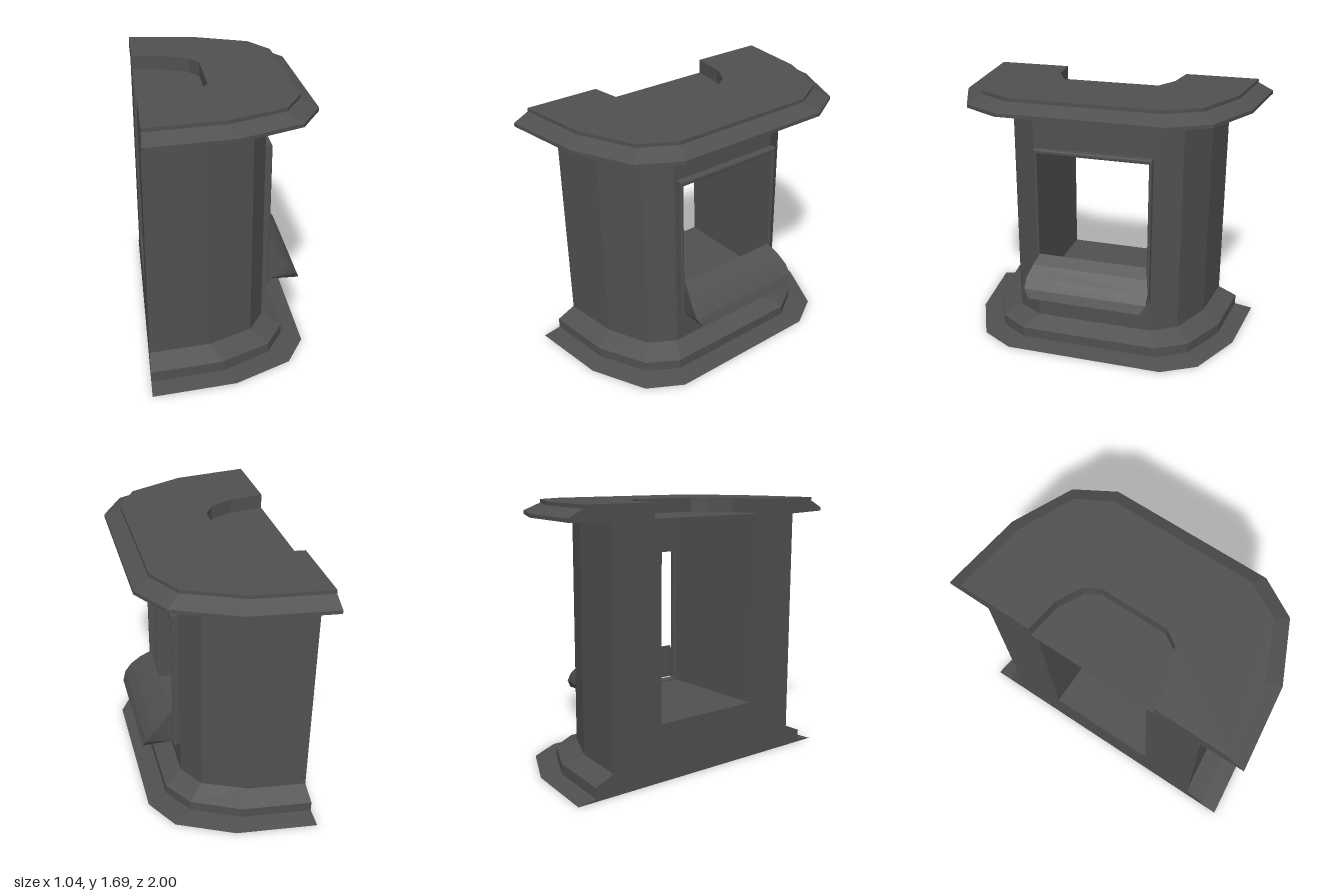
import * as THREE from 'three';

const BACK = -0.52;
const material = new THREE.MeshStandardMaterial({ color: 0x505050, flatShading: true });

// Half outlines as [x, z], from the back edge round to the front face
const BODY = [[BACK, 0.725], [-0.14, 0.68], [0.14, 0.555], [0.24, 0.39]];
const PLINTH = [[BACK, 0.85], [-0.07, 0.8], [0.24, 0.65], [0.36, 0.46]];
const SKIRT = [[BACK, 0.97], [0, 0.91], [0.36, 0.74], [0.49, 0.52]];
const SLAB_EDGE = [[BACK, 1], [0, 0.935], [0.38, 0.763], [0.52, 0.522]];
const SLAB_TOP = [[BACK, 0.903], [-0.05, 0.845], [0.3, 0.69], [0.42, 0.475]];
const RECESS = [[BACK, 0.42], [-0.3, 0.393], [-0.15, 0.317], [-0.09, 0.222]];
const OPENING = 0.37; // half width of the firebox
const FLOOR = 0.37;
const CEILING = 1.59;

const flip = (points) => points.map(([x, z]) => [x, -z]).reverse();
const whole = (half) => [...half, ...flip(half)];
const notched = (half) => [...whole(half), ...whole(RECESS).reverse()];

function meshFrom(name, positions) {
  const geometry = new THREE.BufferGeometry();
  geometry.setAttribute('position', new THREE.Float32BufferAttribute(positions, 3));
  geometry.computeVertexNormals();
  const mesh = new THREE.Mesh(geometry, material);
  mesh.name = name;
  return mesh;
}

// Stacks outlines of equal point count at given heights and caps both ends
function loft(name, rings) {
  const out = [];
  const put = (ring, i) => out.push(ring.outline[i][0], ring.y, ring.outline[i][1]);
  const stack = rings.map(([y, outline]) => ({ y, outline }));
  const n = stack[0].outline.length;
  for (let r = 0; r < stack.length - 1; r++) {
    const low = stack[r], high = stack[r + 1];
    for (let i = 0; i < n; i++) {
      const j = (i + 1) % n;
      put(low, i); put(low, j); put(high, j);
      put(low, i); put(high, j); put(high, i);
    }
  }
  const cap = (ring, up) => {
    const contour = ring.outline.map(([x, z]) => new THREE.Vector2(x, -z));
    for (const [a, b, c] of THREE.ShapeUtils.triangulateShape(contour, [])) {
      for (const i of up ? [a, b, c] : [c, b, a]) put(ring, i);
    }
  };
  cap(stack[0], false);
  cap(stack[stack.length - 1], true);
  return meshFrom(name, out);
}

function rectangle(PathType, halfWidth, bottom, top) {
  return new PathType([[-1, bottom], [1, bottom], [1, top], [-1, top]]
    .map(([s, y]) => new THREE.Vector2(s * halfWidth, y)));
}

// Thin bevelled frame round the fire opening
function doorFrame() {
  const bevel = 0.008;
  const shape = rectangle(THREE.Shape, 0.383 - bevel, 0.36 + bevel, 1.34 - bevel);
  shape.holes.push(rectangle(THREE.Path, 0.363 + bevel, 0.385 - bevel, 1.31 + bevel));
  const geometry = new THREE.ExtrudeGeometry(shape, {
    depth: 0.034, bevelThickness: bevel, bevelSize: bevel, bevelSegments: 2,
  });
  geometry.rotateY(Math.PI / 2);
  const mesh = new THREE.Mesh(geometry, material);
  mesh.name = 'doorFrame';
  mesh.position.set(0.245, 0, -0.008);
  return mesh;
}

// Curved ash hood: each row is [x, y, half width], widest in the middle
function ashHood() {
  const rows = [[0.285, 0.62, 0.36], [0.355, 0.568, 0.385], [0.42, 0.505, 0.405],
    [0.465, 0.445, 0.405], [0.488, 0.39, 0.372], [0.285, 0.39, 0.372]];
  const out = [];
  const point = ([x, y, w], side) => [x, y, side * w];
  const n = rows.length;
  for (let i = 0; i < n; i++) {
    const a = rows[i], b = rows[(i + 1) % n];
    out.push(...point(a, 1), ...point(b, 1), ...point(b, -1));
    out.push(...point(a, 1), ...point(b, -1), ...point(a, -1));
  }
  // End faces fan out from the inner bottom corner
  const corner = rows[n - 1];
  for (let i = 0; i < n - 2; i++) {
    out.push(...point(corner, 1), ...point(rows[i + 1], 1), ...point(rows[i], 1));
    out.push(...point(corner, -1), ...point(rows[i], -1), ...point(rows[i + 1], -1));
  }
  const mesh = meshFrom('ashHood', out);
  mesh.position.z = -0.008;
  return mesh;
}

export function createModel() {
  const model = new THREE.Group();
  model.name = 'fireplace';

  // Stepped foot and the solid block below the fire
  model.add(loft('plinth', [[0, whole(SKIRT)], [0.018, whole(PLINTH)],
    [0.085, whole(PLINTH)], [0.14, whole(BODY)]]));
  model.add(loft('hearthBlock', [[0.14, whole(BODY)], [FLOOR, whole(BODY)]]));

  // Side walls either side of the open firebox
  const wall = [...BODY, [0.24, OPENING], [BACK, OPENING]];
  model.add(loft('leftWall', [[FLOOR, wall], [CEILING, wall]]));
  model.add(loft('rightWall', [[FLOOR, flip(wall)], [CEILING, flip(wall)]]));

  // Front wall above the opening
  const lintel = new THREE.Mesh(
    new THREE.BoxGeometry(0.03, CEILING - 1.31, OPENING * 2), material);
  lintel.name = 'lintel';
  lintel.position.set(0.225, (CEILING + 1.31) / 2, 0);
  model.add(lintel);

  // Overhanging top with a flue recess at the back
  model.add(loft('topUnderside', [[CEILING, whole(BODY)], [1.6, whole(SLAB_EDGE)]]));
  model.add(loft('topSlab', [[1.6, notched(SLAB_EDGE)], [1.622, notched(SLAB_EDGE)],
    [1.67, notched(SLAB_TOP)], [1.692, notched(SLAB_TOP)]]));

  model.add(doorFrame(), ashHood());
  return model;
}
